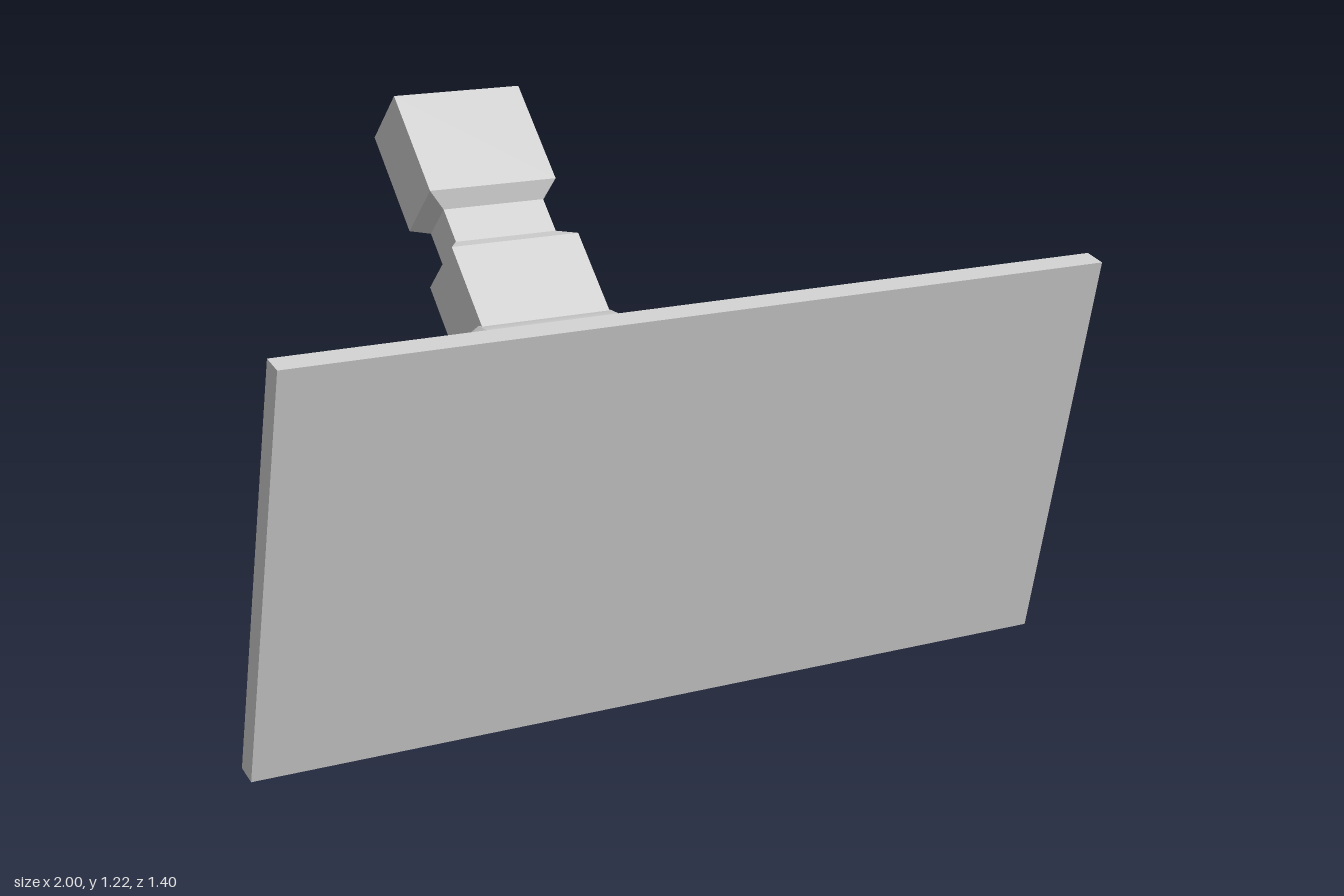
import * as THREE from 'three';

const grey = new THREE.MeshStandardMaterial({ color: 0xcccccc });
const flatGrey = new THREE.MeshStandardMaterial({ color: 0xcccccc, flatShading: true, side: THREE.DoubleSide });

function addMesh(parent, name, geometry, material) {
  const mesh = new THREE.Mesh(geometry, material);
  mesh.name = name;
  parent.add(mesh);
  return mesh;
}

// Open rectangular tube along -z through sections [distance, half width, half height]
function squareTube(sections) {
  const positions = [];
  const index = [];
  for (const [s, w, h] of sections) {
    positions.push(w, h, -s, -w, h, -s, -w, -h, -s, w, -h, -s);
  }
  for (let i = 0; i < sections.length - 1; i++) {
    for (let j = 0; j < 4; j++) {
      const a = i * 4 + j;
      const b = i * 4 + (j + 1) % 4;
      index.push(a, b + 4, b, a, a + 4, b + 4);
    }
  }
  const indexed = new THREE.BufferGeometry();
  indexed.setAttribute('position', new THREE.Float32BufferAttribute(positions, 3));
  indexed.setIndex(index);
  const geometry = indexed.toNonIndexed();
  geometry.computeVertexNormals();
  return geometry;
}

export function createModel() {
  const model = new THREE.Group();
  model.name = 'tiltingPanelOnArm';
  const tilt = 0.225;

  // Broad flat panel, leaning forward at the top
  const panel = addMesh(model, 'panel', new THREE.BoxGeometry(2, 0.964, 0.053), flatGrey);
  panel.position.set(0, 0.477, 0.567);
  panel.rotation.x = tilt;

  // Waisted arm from the back of the panel to the hinge
  const lowerArm = addMesh(model, 'lowerArm', squareTube([
    [0, 0.137, 0.121], [0.184, 0.137, 0.121], [0.243, 0.11, 0.098],
    [0.283, 0.11, 0.098], [0.333, 0.137, 0.12], [0.5, 0.137, 0.12],
  ]), flatGrey);
  lowerArm.position.set(0, 0.4425, 0.5325);
  lowerArm.rotation.x = tilt;

  // Hollow waisted arm rising backwards, open at its far end
  const upperArm = addMesh(model, 'upperArm', squareTube([
    [0.12, 0.17, 0.088], [0.373, 0.17, 0.088], [0.408, 0.135, 0.052],
    [0.502, 0.135, 0.052], [0.537, 0.17, 0.086], [0.82, 0.17, 0.086],
  ]), flatGrey);
  upperArm.position.set(0, 0.585, -0.055);
  upperArm.rotation.x = Math.PI / 4;

  // Twelve-sided hinge barrel with bevelled ends
  const hinge = new THREE.Group();
  hinge.name = 'hinge';
  hinge.position.set(0, 0.58, -0.06);
  hinge.rotation.z = -Math.PI / 2;
  model.add(hinge);
  const turn = Math.PI / 12;
  addMesh(hinge, 'hingeBarrel',
    new THREE.CylinderGeometry(0.178, 0.178, 0.35, 12, 1, true, turn), grey);
  for (const side of [1, -1]) {
    const bevel = addMesh(hinge, side > 0 ? 'leftHingeEnd' : 'rightHingeEnd',
      new THREE.CylinderGeometry(0.121, 0.178, 0.075, 12, 1, false, turn), grey);
    bevel.position.y = side * 0.2125;
    if (side < 0) bevel.rotation.x = Math.PI;
  }
  return model;
}
